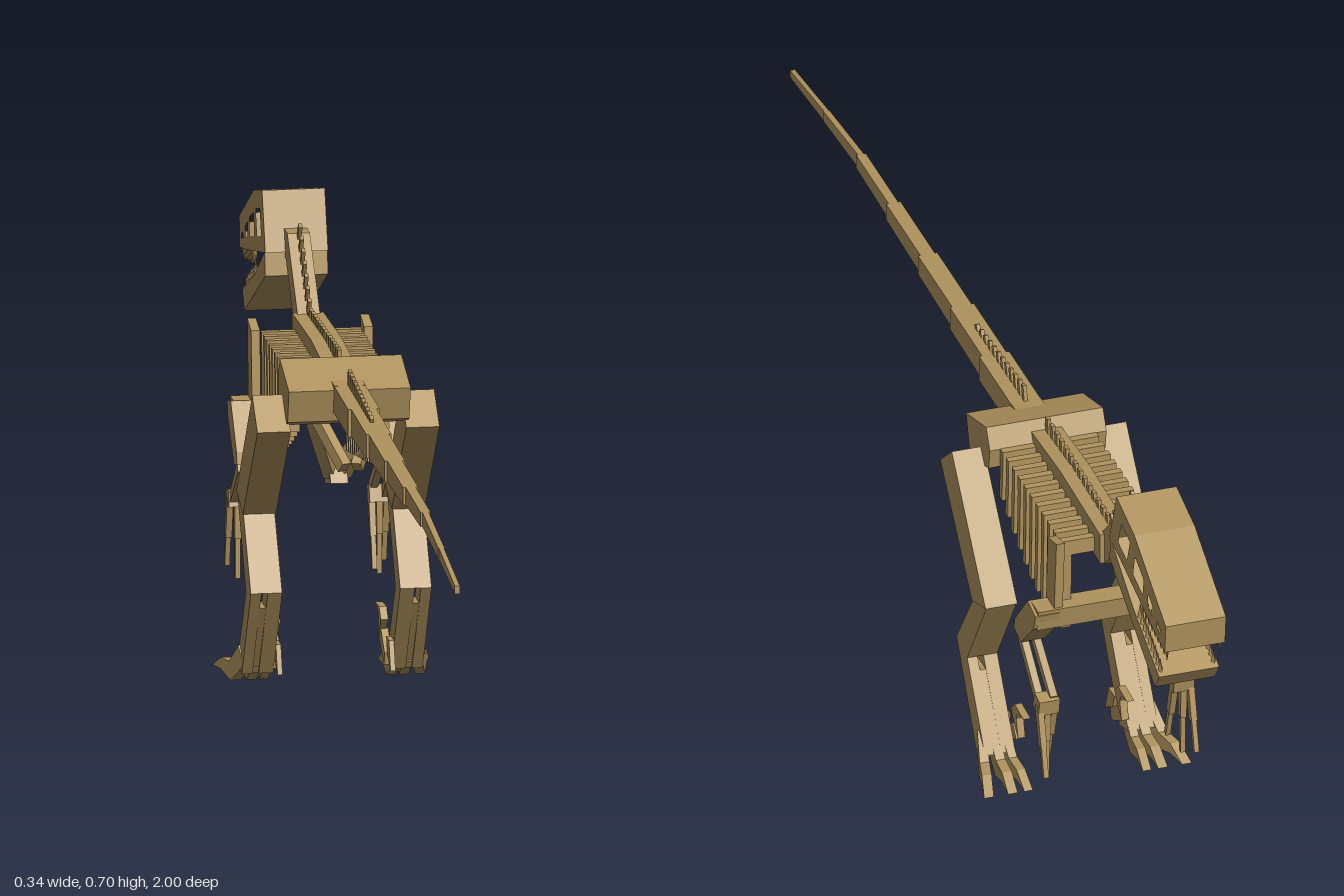
import * as THREE from 'three';

// Side profiles are written as [f, y], where f is the distance forward (f = -z).
export function createModel() {
  const model = new THREE.Group();
  model.name = 'dinosaurSkeleton';
  const wood = new THREE.MeshStandardMaterial({ color: 0xb0935e });
  wood.name = 'wood';

  function add(name, geometry) {
    const mesh = new THREE.Mesh(geometry, wood);
    mesh.name = name;
    model.add(mesh);
    return mesh;
  }

  // Flat plank cut from a side profile, spanning x0..x1; splay shears it sideways
  function plank(name, points, x0, x1, holes = [], splay = 0) {
    const vectors = list => list.map(p => new THREE.Vector2(p[0], p[1]));
    const shape = new THREE.Shape(vectors(points));
    holes.forEach(h => shape.holes.push(new THREE.Path(vectors(h))));
    const lo = Math.min(x0, x1), hi = Math.max(x0, x1);
    const g = new THREE.ExtrudeGeometry(shape, { depth: hi - lo, bevelEnabled: false });
    g.rotateY(Math.PI / 2);
    g.translate(lo, 0, 0);
    if (splay) {
      const p = g.attributes.position;
      for (let i = 0; i < p.count; i++) p.setX(i, p.getX(i) + splay * (-p.getZ(i) - 0.35));
      g.computeVertexNormals();
    }
    return add(name, g);
  }

  // Square bar between two points given as [x, y, f]
  function bar(name, a, b, w, h) {
    const from = new THREE.Vector3(a[0], a[1], -a[2]);
    const to = new THREE.Vector3(b[0], b[1], -b[2]);
    const mesh = add(name, new THREE.BoxGeometry(w, h, from.distanceTo(to)));
    mesh.position.copy(from).add(to).multiplyScalar(0.5);
    mesh.lookAt(to);
    return mesh;
  }

  // Skull with openings right through, and the open lower jaw
  plank('skull', [[0.72, 0.61], [0.755, 0.703], [0.845, 0.682], [1, 0.603], [0.995, 0.553], [0.93, 0.565]],
    -0.05, 0.05, [
      [[0.765, 0.625], [0.78, 0.668], [0.822, 0.657], [0.807, 0.616]],
      [[0.838, 0.608], [0.847, 0.645], [0.89, 0.627], [0.885, 0.597]],
      [[0.91, 0.59], [0.912, 0.614], [0.935, 0.602], [0.933, 0.585]],
      [[0.956, 0.577], [0.957, 0.588], [0.975, 0.58], [0.973, 0.573]]
    ]);
  plank('lowerJaw', [[0.72, 0.572], [0.727, 0.61], [0.84, 0.545], [0.967, 0.492], [0.945, 0.462]], -0.05, 0.05);

  // Teeth along both jaws
  for (const side of [-1, 1]) {
    for (let i = 0; i < 9; i++) {
      const t = i / 8;
      const upper = add('upperTooth', new THREE.ConeGeometry(0.005, 0.03, 4));
      upper.position.set(side * 0.044, 0.565 - 0.018 * t, -(0.87 + 0.118 * t));
      upper.rotation.x = Math.PI;
      const lower = add('lowerTooth', new THREE.ConeGeometry(0.005, 0.03, 4));
      lower.position.set(side * 0.044, 0.55 - 0.045 * t, -(0.855 + 0.1 * t));
    }
  }

  // Neck and its row of spines
  plank('neck', [[0.59, 0.54], [0.7, 0.645], [0.75, 0.645], [0.745, 0.605], [0.715, 0.6], [0.6, 0.485]], -0.018, 0.018);
  for (let i = 0; i < 7; i++) {
    const f = 0.6 + i * 0.0165, y = 0.535 + i * 0.0162;
    bar('neckSpine', [0, y, f], [0, y + 0.03, f - 0.018], 0.006, 0.009);
  }

  // Backbone and back spines
  plank('backbone', [[0.15, 0.485], [0.15, 0.53], [0.4, 0.545], [0.6, 0.54], [0.6, 0.488], [0.4, 0.495]], -0.025, 0.025);
  for (let i = 0; i < 15; i++) {
    const f = 0.27 + i * 0.0228;
    bar('backSpine', [0, 0.53, f], [0, 0.562 - 0.0006 * i, f - 0.003], 0.006, 0.013);
  }

  // Ribs: a cross piece with a hanging bar on each side
  for (let i = 0; i < 11; i++) {
    const f = 0.275 + i * 0.029;
    const bottom = 0.43 - 0.075 * Math.sin(i / 10 * Math.PI * 0.62);
    bar('ribTop', [-0.08, 0.508, f], [0.08, 0.508, f], 0.013, 0.026);
    for (const side of [-1, 1])
      bar('rib', [side * 0.071, 0.515, f], [side * 0.071, bottom, f - 0.006], 0.017, 0.013);
  }

  // Hip block
  plank('pelvis', [[0.15, 0.523], [0.25, 0.553], [0.268, 0.52], [0.262, 0.485], [0.19, 0.46], [0.165, 0.47]], -0.097, 0.097);

  // Tail made of stepped, narrowing boxes: [z start, z end, half width]
  const tailTop = z => z < 0.66 ? 0.528 - 0.012 * z : 0.52 - 0.09 * (z - 0.66) - 0.06 * (z - 0.66) ** 2;
  const tailDepth = z => 0.044 - 0.031 * Math.max(0, z);
  [[-0.17, 0.0, 0.025], [0.0, 0.16, 0.02], [0.16, 0.33, 0.016], [0.33, 0.5, 0.012],
    [0.5, 0.66, 0.008], [0.66, 0.83, 0.005], [0.83, 1, 0.004]].forEach(([a, b, w]) => {
    plank('tailSegment', [[-a, tailTop(a) - tailDepth(a)], [-a, tailTop(a)], [-b, tailTop(b)],
      [-b, tailTop(b) - tailDepth(b)]], -w, w);
  });

  // Tail spines above and hanging bones below
  for (let i = 0; i < 12; i++) {
    const f = 0.155 - i * 0.021;
    bar('tailSpine', [0, 0.52, f], [0, 0.555 - 0.0018 * i, f - 0.008], 0.006, 0.01);
  }
  for (let i = 0; i < 16; i++) {
    const f = 0.16 - i * 0.0225;
    bar('tailChevron', [0, 0.5, f], [0, 0.425 + 0.0036 * i, f - 0.012], 0.012, 0.01);
  }

  // Front hip bones meet at a foot block
  plank('pubisFoot', [[0.26, 0.345], [0.28, 0.37], [0.335, 0.355], [0.325, 0.33]], -0.014, 0.014);

  // Chest cross piece
  plank('chestBar', [[0.545, 0.375], [0.552, 0.412], [0.592, 0.412], [0.585, 0.375]], -0.125, 0.125);

  for (const s of [-1, 1]) {
    bar('pubis', [s * 0.05, 0.475, 0.225], [s * 0.008, 0.355, 0.29], 0.02, 0.026);
    bar('ischium', [s * 0.045, 0.47, 0.21], [s * 0.01, 0.4, 0.14], 0.016, 0.02);

    // Shoulder blade, arm and hand
    plank('shoulderBlade', [[0.545, 0.385], [0.555, 0.525], [0.598, 0.535], [0.585, 0.385]], s * 0.083, s * 0.097);
    plank('upperArm', [[0.485, 0.325], [0.49, 0.345], [0.553, 0.413], [0.592, 0.405], [0.585, 0.38], [0.52, 0.318]],
      s * 0.09, s * 0.13);
    bar('innerForearm', [s * 0.103, 0.33, 0.495], [s * 0.103, 0.255, 0.6], 0.012, 0.016);
    bar('outerForearm', [s * 0.121, 0.318, 0.5], [s * 0.121, 0.243, 0.59], 0.012, 0.016);
    plank('wrist', [[0.575, 0.235], [0.585, 0.262], [0.61, 0.257], [0.605, 0.23]], s * 0.095, s * 0.129);
    [[0.1, 0.56], [0.113, 0.595], [0.125, 0.628]].forEach(([x, f], i) => {
      const knuckle = 0.596 + (f - 0.596) * 0.55;
      bar('finger', [s * x, 0.245, 0.596], [s * x, 0.18, knuckle], 0.01, 0.014);
      bar('fingerClaw', [s * x, 0.185, knuckle], [s * x, i === 1 ? 0.115 : 0.13, f], 0.008, 0.009);
    });

    // Hind leg
    plank('thigh', [[0.165, 0.455], [0.222, 0.502], [0.39, 0.308], [0.322, 0.285]], s * 0.092, s * 0.145);
    plank('shin', [[0.322, 0.285], [0.39, 0.308], [0.296, 0.165], [0.243, 0.175]], s * 0.094, s * 0.144);
    const metatarsal = [[0.243, 0.175], [0.296, 0.165], [0.385, 0.035], [0.34, 0.022]];
    plank('outerMetatarsal', metatarsal, s * 0.127, s * 0.144);
    plank('innerMetatarsal', metatarsal, s * 0.094, s * 0.117);
    plank('middleMetatarsal', [[0.262, 0.146], [0.308, 0.146], [0.385, 0.035], [0.345, 0.022]], s * 0.117, s * 0.127);

    // Three walking toes ending in claws
    const toe = [[0.335, 0.035], [0.355, 0.065], [0.395, 0.03], [0.43, 0.028], [0.465, 0.008],
      [0.43, 0.01], [0.39, 0]];
    plank('innerToe', toe, s * 0.096, s * 0.11, [], s * -0.04);
    plank('middleToe', toe, s * 0.112, s * 0.128, [], s * 0.04);
    plank('outerToe', toe, s * 0.13, s * 0.146, [], s * 0.23);

    // Raised hooked claw and small rear spur
    plank('raisedToe', [[0.335, 0.03], [0.33, 0.05], [0.372, 0.08], [0.39, 0.06]], s * 0.082, s * 0.094);
    plank('sickleClaw', [[0.372, 0.08], [0.357, 0.098], [0.375, 0.115], [0.42, 0.112], [0.39, 0.105],
      [0.384, 0.094], [0.393, 0.062]], s * 0.08, s * 0.092);
    plank('rearSpur', [[0.293, 0.03], [0.31, 0.075], [0.34, 0.075], [0.33, 0.05]], s * 0.086, s * 0.094);
  }

  model.position.x = -0.002;
  return model;
}
